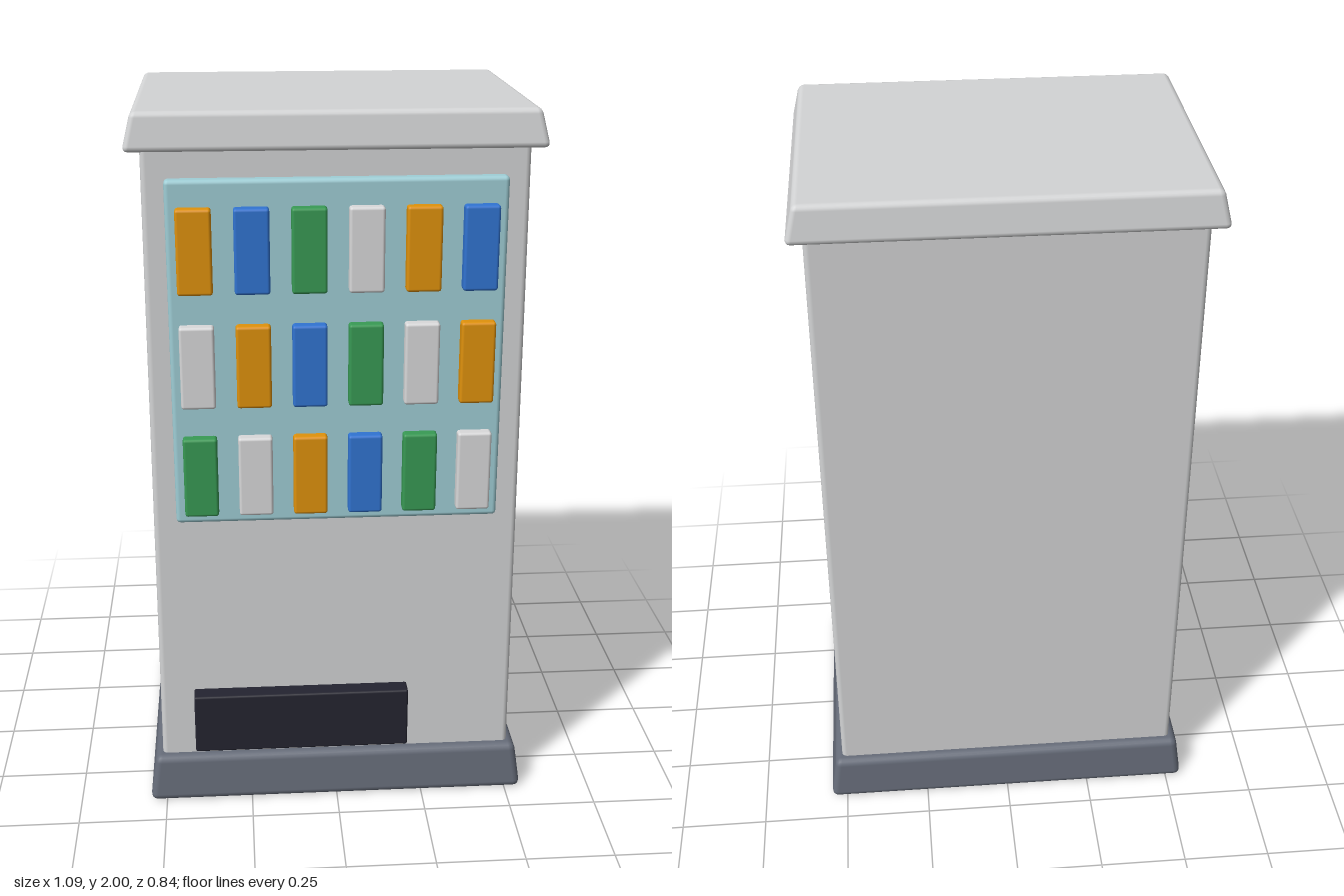
import * as THREE from 'three';
import { RoundedBoxGeometry } from 'three/addons/geometries/RoundedBoxGeometry.js';

const makeMaterial = (name, color) => {
  const m = new THREE.MeshStandardMaterial({ color });
  m.name = name;
  return m;
};

// Rounded box whose footprint narrows to the given x and z scale at its top
function taperedBox(w, h, d, radius, topX = 1, topZ = 1) {
  const g = new RoundedBoxGeometry(w, h, d, 2, radius);
  const p = g.attributes.position, n = g.attributes.normal;
  const v = new THREE.Vector3();
  for (let i = 0; i < p.count; i++) {
    const x = p.getX(i), y = p.getY(i), z = p.getZ(i), t = y / h + 0.5;
    const sx = 1 + (topX - 1) * t, sz = 1 + (topZ - 1) * t;
    const nx = n.getX(i) / sx, nz = n.getZ(i) / sz;
    const ny = n.getY(i) - ((topX - 1) * x * nx + (topZ - 1) * z * nz) / h;
    v.set(nx, ny, nz).normalize();
    p.setXYZ(i, x * sx, y, z * sz);
    n.setXYZ(i, v.x, v.y, v.z);
  }
  return g;
}

export function createModel() {
  const model = new THREE.Group();
  model.name = 'vendingMachine';

  const shell = makeMaterial('shellGrey', 0xd3d4d5);
  const plinth = makeMaterial('plinthSlate', 0x666c79);
  const glass = makeMaterial('windowTeal', 0x9fced6);
  const dark = makeMaterial('slotBlack', 0x242430);
  const drinks = [
    makeMaterial('drinkOrange', 0xe0920c),
    makeMaterial('drinkBlue', 0x3174d2),
    makeMaterial('drinkGreen', 0x389a54),
    makeMaterial('drinkWhite', 0xd9d9da),
  ];

  const add = (name, geometry, material, x, y, z) => {
    const mesh = new THREE.Mesh(geometry, material);
    mesh.name = name;
    mesh.position.set(x, y, z);
    model.add(mesh);
  };

  // Cabinet, plinth and overhanging lid
  add('base', taperedBox(1.096, 0.14, 0.832, 0.02, 0.965, 0.965), plinth, 0, 0.07, -0.006);
  add('cabinet', taperedBox(1.018, 1.84, 0.753, 0.015, 0.982, 0.982), shell, 0, 1.02, -0.006);
  add('lid', taperedBox(1.085, 0.1, 0.812, 0.015, 0.955, 0.965), shell, 0, 1.95, -0.006);

  // Display window and pickup slot
  add('displayWindow', taperedBox(0.884, 0.945, 0.05, 0.012), glass, 0, 1.357, 0.368);
  add('pickupSlot', taperedBox(0.615, 0.18, 0.07, 0.006), dark, -0.103, 0.26, 0.384);

  // Three rows of six drinks, colours shifting one step per row
  const drinkGeometry = taperedBox(0.092, 0.225, 0.05, 0.008);
  for (let row = 0; row < 3; row++) {
    for (let col = 0; col < 6; col++) {
      add(`drink${row + 1}_${col + 1}`, drinkGeometry, drinks[(col - row + 4) % 4],
        -0.37 + col * 0.148, 1.648 - row * 0.31, 0.398);
    }
  }
  return model;
}
